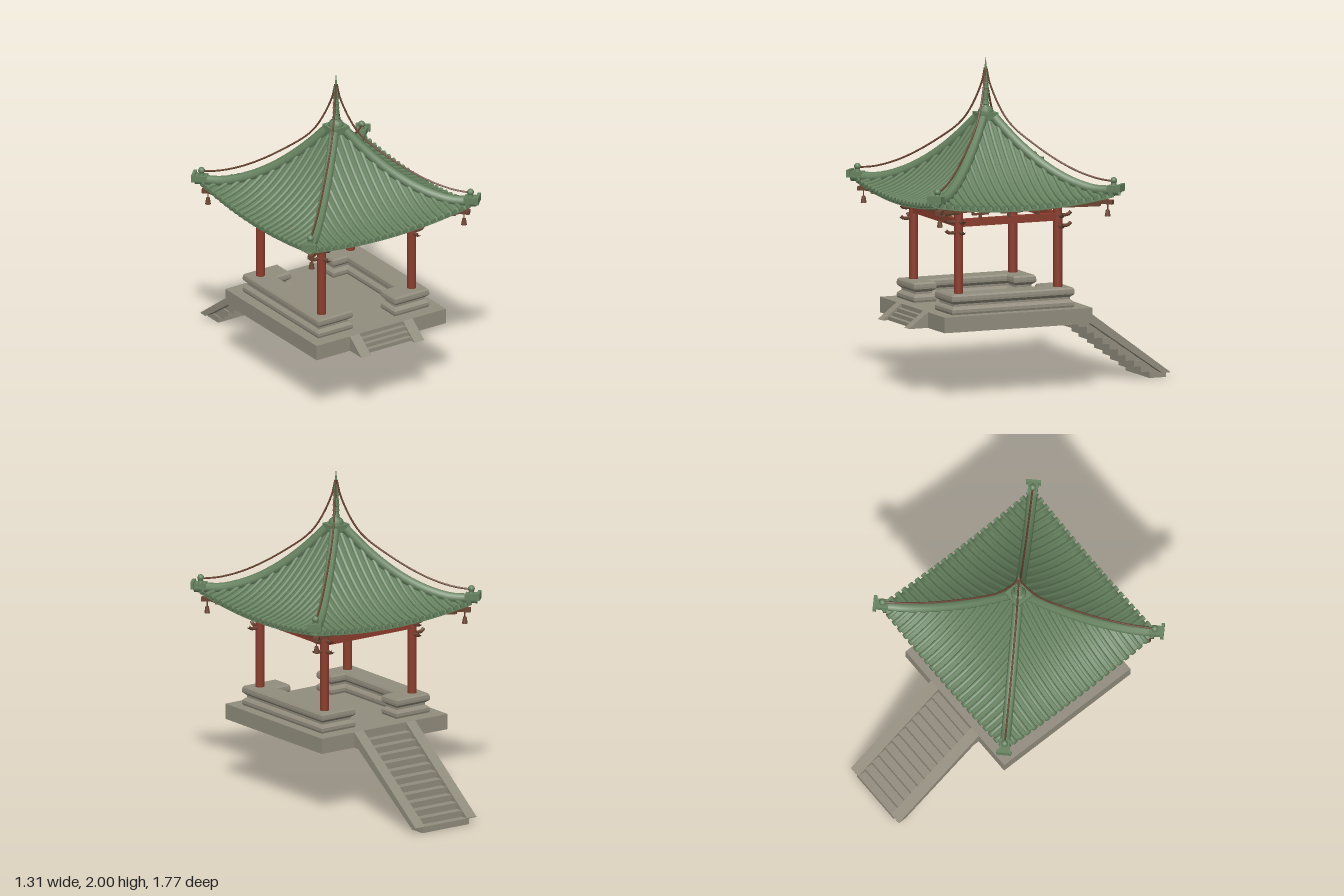
import * as THREE from 'three';

const mat = (name, color, double) => {
  const m = new THREE.MeshStandardMaterial({ color });
  m.name = name;
  if (double) m.side = THREE.DoubleSide;
  return m;
};
const V = (x, y, z) => new THREE.Vector3(x, y, z);

export function createModel() {
  const green = mat('green tile', 0x66825f, true);
  const stone = mat('grey stone', 0x918c7d, true);
  const red = mat('red timber', 0x8c3d2e);
  const brown = mat('brown timber', 0x6b4532);
  const model = new THREE.Group();
  model.name = 'pavilion';

  const add = (parent, name, geo, material, x = 0, y = 0, z = 0) => {
    const m = new THREE.Mesh(geo, material);
    m.name = name;
    m.position.set(x, y, z);
    parent.add(m);
    return m;
  };
  const box = (parent, name, material, w, h, d, x, y, z) =>
    add(parent, name, new THREE.BoxGeometry(w, h, d), material, x, y, z);
  // Straight timber between two points
  const beam = (parent, name, material, a, b, w, h) => {
    const m = new THREE.Mesh(new THREE.BoxGeometry(w, h, a.distanceTo(b)), material);
    m.name = name;
    m.position.copy(a).lerp(b, 0.5);
    m.lookAt(b);
    parent.add(m);
  };
  const tube = (parent, name, material, pts, r, n = 12, sides = 6) =>
    add(parent, name, new THREE.TubeGeometry(new THREE.CatmullRomCurve3(pts), n, r, sides), material);
  // Side profile given as [z, y], extruded across x
  const sideSlab = (parent, name, pts, width, x) => {
    const shape = new THREE.Shape(pts.map(([z, y]) => new THREE.Vector2(-z, y)));
    const geo = new THREE.ExtrudeGeometry(shape, { depth: width, bevelEnabled: false });
    geo.translate(0, 0, -width / 2).rotateY(Math.PI / 2);
    add(parent, name, geo, stone, x);
  };

  // Stone platform
  box(model, 'platform', stone, 0.94, 0.095, 0.98, 0, 0.4525, 0.23);

  // Sloping stair sides, long at the back and short at the front
  for (const s of [-1, 1]) {
    sideSlab(model, 'backStairSide',
      [[-0.26, 0.5], [-0.88, 0.04], [-0.88, 0.035], [-0.83, 0.035], [-0.3, 0.405], [-0.26, 0.405]], 0.07, s * 0.193);
    sideSlab(model, 'frontStairSide', [[0.71, 0.5], [0.72, 0.5], [0.845, 0.405], [0.71, 0.405]], 0.07, s * 0.193);
  }
  for (let i = 0; i < 12; i++)
    box(model, 'backStep', stone, i % 2 ? 0.33 : 0.35, 0.0375, 0.11, 0, 0.0187 + i * 0.0375, -0.824 + i * 0.0517);
  for (let i = 0; i < 3; i++)
    box(model, 'frontStep', stone, 0.32, 0.0235, 0.03 * (3 - i), 0, 0.417 + i * 0.0235, 0.72 + 0.015 * (3 - i));

  // Everything above the platform is centred on the roof axis
  const hall = new THREE.Group();
  hall.name = 'hall';
  hall.position.z = 0.235;
  model.add(hall);

  // Moulded C-shaped parapets: the outline is inset by a different amount at each height
  const outline = (d) => {
    const o = 0.405 - d, i = 0.255 + d, e = 0.152 + d;
    return [[o, -o], [o, o], [e, o], [e, i], [i, i], [i, -i], [e, -i], [e, -o]];
  };
  const layers = [[0.004, 0.5], [0, 0.512], [0.001, 0.53], [0.01, 0.54], [0.022, 0.549], [0.022, 0.562],
    [0.008, 0.573], [0.001, 0.58], [0, 0.592], [0.002, 0.61], [0.01, 0.62]];
  const parapetGeometry = () => {
    const p = [];
    const rings = layers.map(([d, y]) => outline(d).map(([x, z]) => [x, y, z]));
    for (let k = 0; k + 1 < rings.length; k++)
      for (let j = 0; j < 8; j++) {
        const n = (j + 1) % 8, a = rings[k], b = rings[k + 1];
        p.push(...a[j], ...b[j], ...b[n], ...a[j], ...b[n], ...a[n]);
      }
    const top = rings[rings.length - 1];
    const flat = top.map(([x, , z]) => new THREE.Vector2(x, -z));
    for (const [a, b, c] of THREE.ShapeUtils.triangulateShape(flat, [])) {
      const t = [a, b, c];
      const area = (flat[b].x - flat[a].x) * (flat[c].y - flat[a].y) - (flat[c].x - flat[a].x) * (flat[b].y - flat[a].y);
      if (area < 0) t.reverse();
      t.forEach((q) => p.push(...top[q]));
    }
    const geo = new THREE.BufferGeometry();
    geo.setAttribute('position', new THREE.Float32BufferAttribute(p, 3));
    geo.computeVertexNormals();
    return geo;
  };
  const parapet = parapetGeometry();
  add(hall, 'parapet', parapet, stone);
  add(hall, 'parapet', parapet, stone).rotation.y = Math.PI;

  // Roof height: d is the distance out from the axis, u runs -1..1 from hip to hip
  const D = 0.585;
  const roofY = (d, u) => {
    const s = 1 - d / D;
    return 1.155 + 0.081 * s + 0.444 * s * s + 0.05 * u * u * (d / D) ** 2;
  };
  const roofSkin = () => {
    const nu = 16, nd = 14, p = [], idx = [];
    for (let j = 0; j <= nd + 1; j++)
      for (let i = 0; i <= nu; i++) {
        const d = 0.04 + (D - 0.04) * Math.min(j, nd) / nd, u = -1 + 2 * i / nu;
        p.push(u * d, roofY(d, u) - (j > nd ? 0.022 : 0), d);
      }
    for (let j = 0; j <= nd; j++)
      for (let i = 0; i < nu; i++) {
        const a = j * (nu + 1) + i, b = a + nu + 1;
        idx.push(a, b, a + 1, a + 1, b, b + 1);
      }
    const geo = new THREE.BufferGeometry();
    geo.setAttribute('position', new THREE.Float32BufferAttribute(p, 3));
    geo.setIndex(idx);
    geo.computeVertexNormals();
    return geo;
  };
  const skin = roofSkin();
  const capGeo = new THREE.CylinderGeometry(0.017, 0.017, 0.014, 10).rotateX(Math.PI / 2);

  // One quarter of the hall, repeated on all four sides
  for (let k = 0; k < 4; k++) {
    const q = new THREE.Group();
    q.name = 'quarter';
    q.rotation.y = k * Math.PI / 2;
    hall.add(q);

    // Roof covering, tile rows and eave caps
    add(q, 'roofSkin', skin, green);
    for (let i = -11; i <= 11; i++) {
      const x = i * 0.051, d0 = Math.max(Math.abs(x), 0.05), pts = [];
      for (let j = 0; j <= 8; j++) {
        const d = d0 + (0.592 - d0) * j / 8;
        pts.push(V(x, roofY(d, x / d) + 0.006, d));
      }
      tube(q, 'tileRow', green, pts, 0.0135, 10);
      add(q, 'tileCap', capGeo, green, x, roofY(0.592, x / 0.592) + 0.004, 0.592);
    }

    // Hip ridge with its flared end and knob
    const hip = [];
    for (let j = 0; j <= 10; j++) {
      const d = 0.04 + 0.57 * j / 10;
      hip.push(V(d, roofY(d, 1) + 0.012 + (d > 0.55 ? 0.006 : 0), d));
    }
    tube(q, 'hipRidge', green, hip, 0.031, 20, 8);
    const end = new THREE.Group();
    end.name = 'hipEnd';
    end.position.set(0.6, 1.243, 0.6);
    end.rotation.y = Math.PI / 4;
    q.add(end);
    box(end, 'hipEndBlock', green, 0.06, 0.035, 0.08, 0, -0.005, -0.02);
    box(end, 'hipEndPlate', green, 0.09, 0.045, 0.02, 0, 0, 0.022);
    add(q, 'hipKnobNeck', new THREE.CylinderGeometry(0.014, 0.02, 0.03, 10), green, 0.583, 1.262, 0.583);
    add(q, 'hipKnob', new THREE.SphereGeometry(0.021, 12, 8), green, 0.583, 1.285, 0.583);

    // Chain sagging from the spire to the hip end
    tube(q, 'chain', brown, [[0.004, 1.93], [0.02, 1.83], [0.1, 1.615], [0.225, 1.475], [0.383, 1.35], [0.5, 1.295], [0.58, 1.28]]
      .map(([d, y]) => V(d, y, d)), 0.006, 28, 5);

    // Column and main beams
    add(q, 'column', new THREE.CylinderGeometry(0.027, 0.028, 0.56, 16), red, 0.328, 0.9, 0.328);
    box(q, 'tieBeam', red, 0.64, 0.046, 0.034, 0, 1.048, 0.328);
    box(q, 'topBeam', red, 0.7, 0.03, 0.04, 0, 1.15, 0.328);
    box(q, 'eavePurlin', red, 0.94, 0.022, 0.022, 0, 1.146, 0.47);
    box(q, 'innerBeam', red, 0.4, 0.03, 0.03, 0, 1.3, 0.19);
    beam(q, 'hipRafter', red, V(0.02, 1.54, 0.02), V(0.33, 1.22, 0.33), 0.03, 0.035);
    beam(q, 'innerStrut', red, V(0.19, 1.3, 0.19), V(0.328, 1.15, 0.328), 0.028, 0.028);

    // Open bracket frames above the tie beam
    for (const x of [-0.19, 0, 0.19]) {
      for (const s of [-1, 1]) box(q, 'bracketPost', brown, 0.012, 0.045, 0.02, x + s * 0.047, 1.115, 0.34);
      box(q, 'bracketBar', brown, 0.106, 0.012, 0.02, x, 1.097, 0.34);
      box(q, 'bracketBlock', brown, 0.016, 0.025, 0.02, x, 1.08, 0.34);
      box(q, 'bracketArm', brown, 0.02, 0.018, 0.14, x, 1.128, 0.39);
    }

    // Curved arms projecting from the column both ways
    for (const y of [0.99, 1.055]) {
      const arm = [[0.33, 0.006], [0.375, 0], [0.398, 0.004], [0.414, 0.018]];
      tube(q, 'columnArm', brown, arm.map(([a, h]) => V(a, y + h, 0.328)), 0.011);
      tube(q, 'columnArm', brown, arm.map(([a, h]) => V(0.328, y + h, a)), 0.011);
    }

    // Rafters under the eave
    for (let i = -10; i <= 10; i++) {
      const x = i * 0.052, u = x / 0.56, d0 = Math.max(0.33, Math.abs(x));
      beam(q, 'rafter', brown, V(x, roofY(d0, x / d0) - 0.035, d0), V(x, 1.143 + 0.035 * u * u, 0.565), 0.016, 0.016);
    }
    box(q, 'eaveBoard', brown, 1.1, 0.016, 0.018, 0, 1.152, 0.545);

    // Corner beam with hanging bell
    beam(q, 'cornerBeam', brown, V(0.32, 1.11, 0.32), V(0.52, 1.135, 0.52), 0.03, 0.02);
    beam(q, 'cornerBeam', brown, V(0.33, 1.165, 0.33), V(0.58, 1.152, 0.58), 0.034, 0.026);
    add(q, 'bellCord', new THREE.CylinderGeometry(0.004, 0.004, 0.045, 5), brown, 0.555, 1.125, 0.555);
    add(q, 'bell', new THREE.CylinderGeometry(0.011, 0.018, 0.04, 10), brown, 0.555, 1.086, 0.555);
  }

  // Roof crown and ringed spire
  box(hall, 'crownBase', green, 0.09, 0.05, 0.09, 0, 1.615, 0);
  box(hall, 'crownPlate', green, 0.118, 0.022, 0.118, 0, 1.648, 0);
  const spire = [[0.044, 1.655], [0.046, 1.672], [0.036, 1.688], [0.02, 1.696], [0.018, 1.74], [0.017, 1.8],
    [0.015, 1.86], [0.01, 1.91], [0.005, 1.955], [0, 2]];
  add(hall, 'spire', new THREE.LatheGeometry(spire.map(([r, y]) => new THREE.Vector2(r, y)), 16), green);
  for (let i = 0; i < 5; i++)
    add(hall, 'spireRing', new THREE.TorusGeometry(0.019 - i * 0.001, 0.005, 6, 16).rotateX(Math.PI / 2), green, 0, 1.71 + i * 0.032, 0);

  return model;
}
